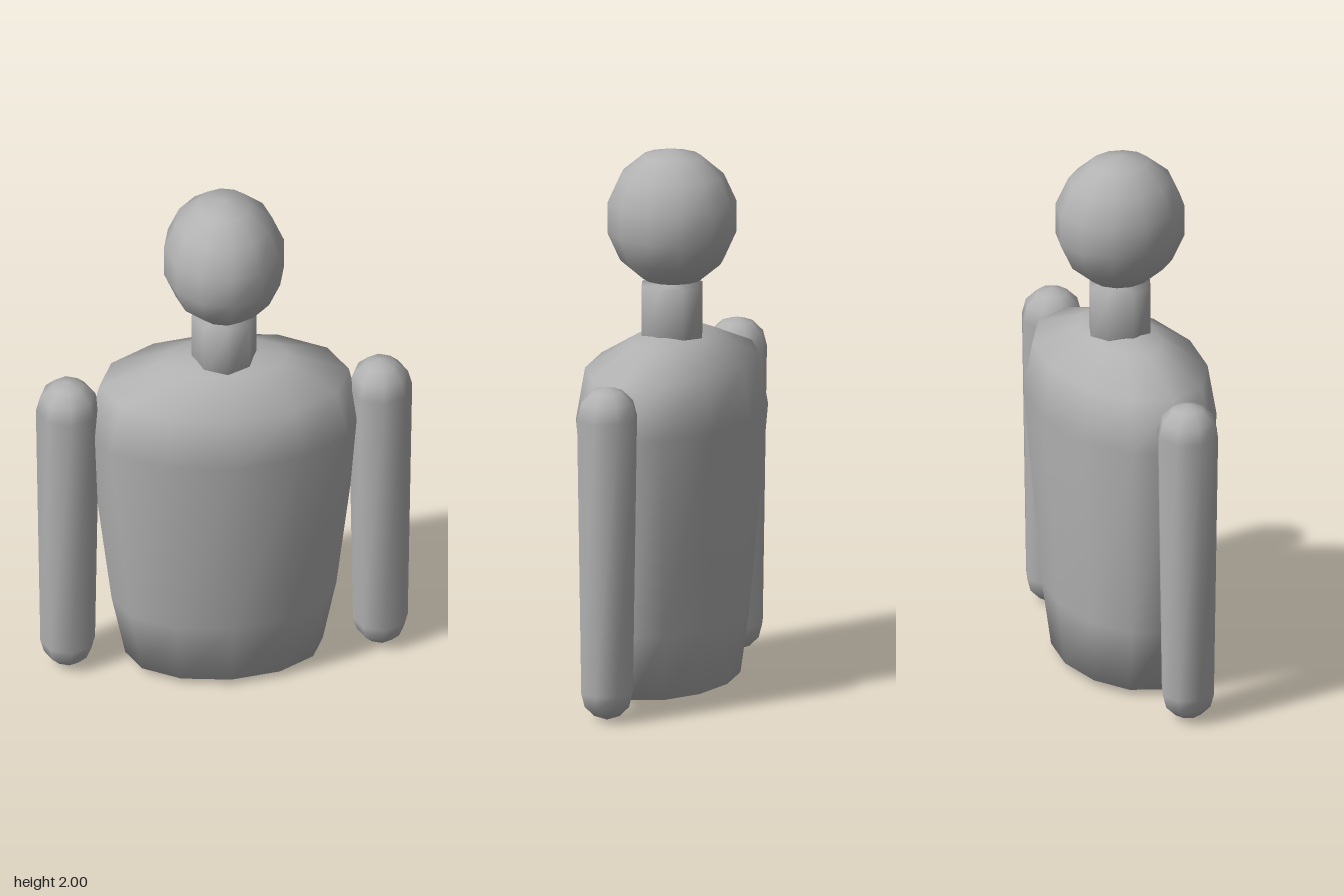
import * as THREE from 'three';

const grey = new THREE.MeshStandardMaterial({ color: 0xb2b2b2 });
grey.name = 'plain grey';

// Smooth closed loft: rings are [y, rx, rz] from bottom to top, with a pole at each end.
function loft(name, rings, sides, yBottom, yTop) {
  const pos = [], idx = [], n = rings.length;
  for (const [y, rx, rz] of rings) {
    for (let i = 0; i < sides; i++) {
      const a = (i / sides) * Math.PI * 2;
      pos.push(rx * Math.cos(a), y, rz * Math.sin(a));
    }
  }
  const bottom = n * sides, top = bottom + 1, last = (n - 1) * sides;
  pos.push(0, yBottom, 0, 0, yTop, 0);
  for (let i = 0; i < sides; i++) {
    const j = (i + 1) % sides;
    for (let r = 0; r < n - 1; r++) {
      const a = r * sides + i, b = r * sides + j;
      idx.push(a, a + sides, b, b, a + sides, b + sides);
    }
    idx.push(bottom, i, j, top, last + j, last + i);
  }
  const geo = new THREE.BufferGeometry();
  geo.setAttribute('position', new THREE.Float32BufferAttribute(pos, 3));
  geo.setIndex(idx);
  geo.computeVertexNormals();
  const mesh = new THREE.Mesh(geo, grey);
  mesh.name = name;
  return mesh;
}

export function createModel() {
  const model = new THREE.Group();
  model.name = 'mannequinBust';

  // Torso: oval sections from waist to shoulders
  model.add(loft('torso', [
    [0.025, 0.36, 0.22],
    [0.27, 0.41, 0.25],
    [1.02, 0.5, 0.31],
    [1.21, 0.455, 0.28],
    [1.3, 0.23, 0.13],
  ], 12, 0.025, 1.34));

  // Neck
  model.add(loft('neck', [[1.27, 0.118, 0.118], [1.495, 0.118, 0.118]], 8, 1.27, 1.495));

  // Head: egg-shaped ellipsoid
  const headRings = [];
  for (let k = 6; k >= 1; k--) {
    const t = (k / 7) * Math.PI;
    headRings.push([1.745 + 0.255 * Math.cos(t), 0.225 * Math.sin(t), 0.245 * Math.sin(t)]);
  }
  model.add(loft('head', headRings, 12, 1.49, 2));

  // Arms: tapered capsules
  const armRings = [];
  for (const deg of [60, 30, 0]) {
    const t = THREE.MathUtils.degToRad(deg), r = 0.1 * Math.cos(t);
    armRings.push([0.105 - 0.1 * Math.sin(t), r, r]);
  }
  for (const deg of [0, 30, 60]) {
    const t = THREE.MathUtils.degToRad(deg), r = 0.116 * Math.cos(t);
    armRings.push([1.125 + 0.116 * Math.sin(t), r, r]);
  }
  for (const [name, x] of [['leftArm', 0.57], ['rightArm', -0.57]]) {
    const arm = loft(name, armRings, 8, 0, 1.242);
    arm.position.x = x;
    model.add(arm);
  }
  return model;
}
